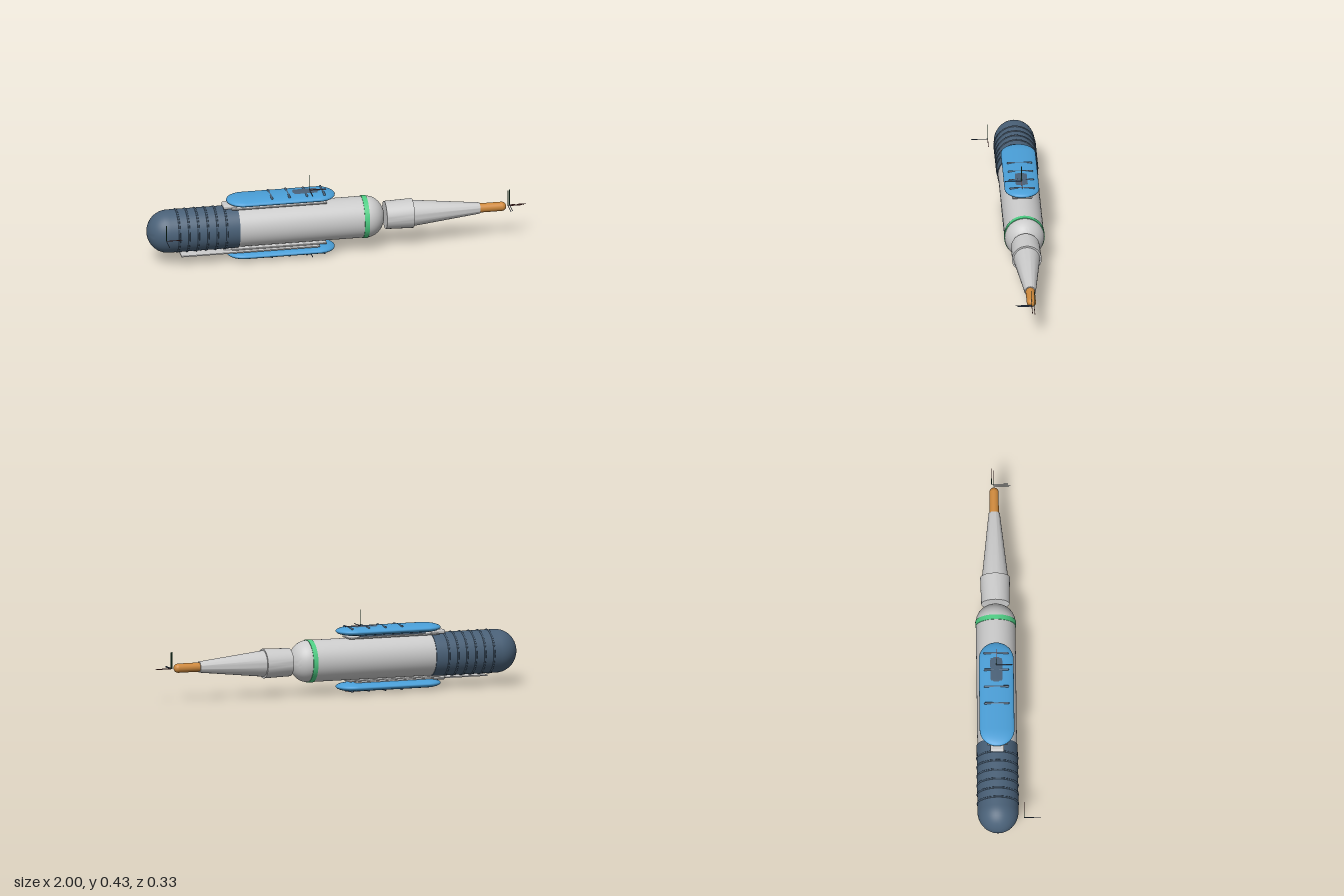
import * as THREE from 'three';
import { toCreasedNormals } from 'three/addons/utils/BufferGeometryUtils.js';
import { RoundedBoxGeometry } from 'three/addons/geometries/RoundedBoxGeometry.js';

const AXIS_Y = 0.175, AXIS_Z = -0.056;
const mat = (color) => new THREE.MeshStandardMaterial({ color });
const shell = mat(0xcccccc), dark = mat(0x4a6178), blue = mat(0x4a9fd8);
const green = mat(0x4fcf85), orange = mat(0xd08a3c);

function add(parent, name, geometry, material, x = 0, y = 0, z = 0) {
  const mesh = new THREE.Mesh(geometry, material);
  mesh.name = name;
  mesh.position.set(x, y, z);
  parent.add(mesh);
  return mesh;
}

// Turned part along x from [x, radius] pairs
function turned(profile, segments = 48) {
  const g = new THREE.LatheGeometry(profile.map(([x, r]) => new THREE.Vector2(r, x)), segments);
  g.rotateZ(-Math.PI / 2);
  return toCreasedNormals(g, 0.6);
}

// Quarter-ellipse of [x, radius] pairs; dir -1 opens from a left tip, +1 closes to a right tip
function dome(x, length, radius, dir, steps = 12) {
  const pts = [];
  for (let i = 0; i <= steps; i++) {
    const a = (i / steps) * Math.PI / 2;
    pts.push([x + dir * length * Math.sin(a), i === steps ? 0 : radius * Math.cos(a)]);
  }
  return dir < 0 ? pts.reverse() : pts;
}

// Capsule lying along x or z
function capsule(length, radius, axis) {
  const g = new THREE.CapsuleGeometry(radius, length - 2 * radius, 12, 32);
  return axis === 'x' ? g.rotateZ(Math.PI / 2) : g.rotateX(Math.PI / 2);
}

// Three thin rods marking a local frame
function axisMarker(name, x, y, z) {
  const group = new THREE.Group();
  group.name = name;
  group.position.set(x, y, z);
  const L = 0.085, t = 0.003;
  add(group, 'rodX', new THREE.BoxGeometry(L, t, t), mat(0x6b3a3a), L / 2, 0, 0);
  add(group, 'rodY', new THREE.BoxGeometry(t, L, t), mat(0x2f6045), 0, L / 2, 0);
  add(group, 'rodZ', new THREE.BoxGeometry(t, t, L), mat(0x44566e), 0, 0, L / 2);
  return group;
}

// Side pad with thumb patch and ribs; outward is +y
function createPad(name) {
  const pad = new THREE.Group();
  pad.name = name;
  add(pad, 'padShell', capsule(0.57, 0.09, 'x'), blue, -0.295, 0.145, 0).scale.y = 0.26;
  add(pad, 'thumbPatch', capsule(0.25, 0.074, 'x'), dark, -0.165, 0.1475, 0).scale.y = 0.29;
  for (let i = 0; i < 4; i++)
    add(pad, 'padRib', capsule(0.13, 0.006, 'z'), dark, -0.35 + i * 0.092, 0.163, 0);
  // Mount between pad and body
  add(pad, 'mountPlate', new RoundedBoxGeometry(0.5, 0.008, 0.105, 2, 0.003), shell, -0.31, 0.112, 0);
  add(pad, 'mountStandoff', new THREE.BoxGeometry(0.36, 0.02, 0.065), dark, -0.31, 0.122, 0);
  add(pad, 'mountClip', new RoundedBoxGeometry(0.07, 0.022, 0.07, 3, 0.008), shell, -0.565, 0.12, 0);
  return pad;
}

export function createModel() {
  const model = new THREE.Group();
  model.name = 'handheldTool';

  const core = new THREE.Group();
  core.name = 'core';
  core.position.set(0, AXIS_Y, AXIS_Z);
  model.add(core);

  // Oval barrel: shell, grip, grip ribs and ring share the same squash
  const barrel = new THREE.Group();
  barrel.name = 'barrel';
  barrel.scale.z = 0.94;
  core.add(barrel);
  add(barrel, 'bodyShell', turned([[-0.54, 0], [-0.54, 0.109], ...dome(0.155, 0.095, 0.109, 1)]), shell);
  add(barrel, 'grip', turned([...dome(-0.89, 0.11, 0.113, -1), [-0.525, 0.113], [-0.525, 0]]), dark);
  for (let i = 0; i < 6; i++) {
    const rib = new THREE.TorusGeometry(0.112, 0.005, 8, 48).rotateY(Math.PI / 2);
    add(barrel, 'gripRib', rib, dark, -0.845 + i * 0.05);
  }
  add(barrel, 'statusRing',
    turned([[0.132, 0.1], [0.132, 0.112], [0.158, 0.112], [0.158, 0.1]]), green);

  // Nozzle: collar, cone and rounded tip
  add(core, 'nozzleCollar',
    turned([[0.255, 0], [0.255, 0.073], [0.4, 0.077], [0.4, 0]]), shell);
  add(core, 'nozzleCone',
    turned([[0.39, 0.068], [0.4, 0.068], [0.755, 0.029], [0.755, 0]]), shell);
  add(core, 'tip', capsule(0.17, 0.024, 'x'), orange, 0.81);

  // Mirrored pads above and below
  const upper = createPad('upperPad');
  const lower = createPad('lowerPad');
  lower.rotation.x = Math.PI;
  core.add(upper, lower);

  // Thin rail under the barrel
  add(model, 'underRail', new THREE.BoxGeometry(0.73, 0.006, 0.12), shell, -0.465, 0.056, -0.042);

  model.add(
    axisMarker('upperPadMarker', -0.14, 0.345, AXIS_Z),
    axisMarker('lowerPadMarker', -0.14, 0.003, AXIS_Z),
    axisMarker('tipMarker', 0.905, AXIS_Y, AXIS_Z),
    axisMarker('tipOffsetMarker', 0.915, AXIS_Y, -0.068),
    axisMarker('rearMarker', -0.922, AXIS_Y, 0.08),
  );
  return model;
}
